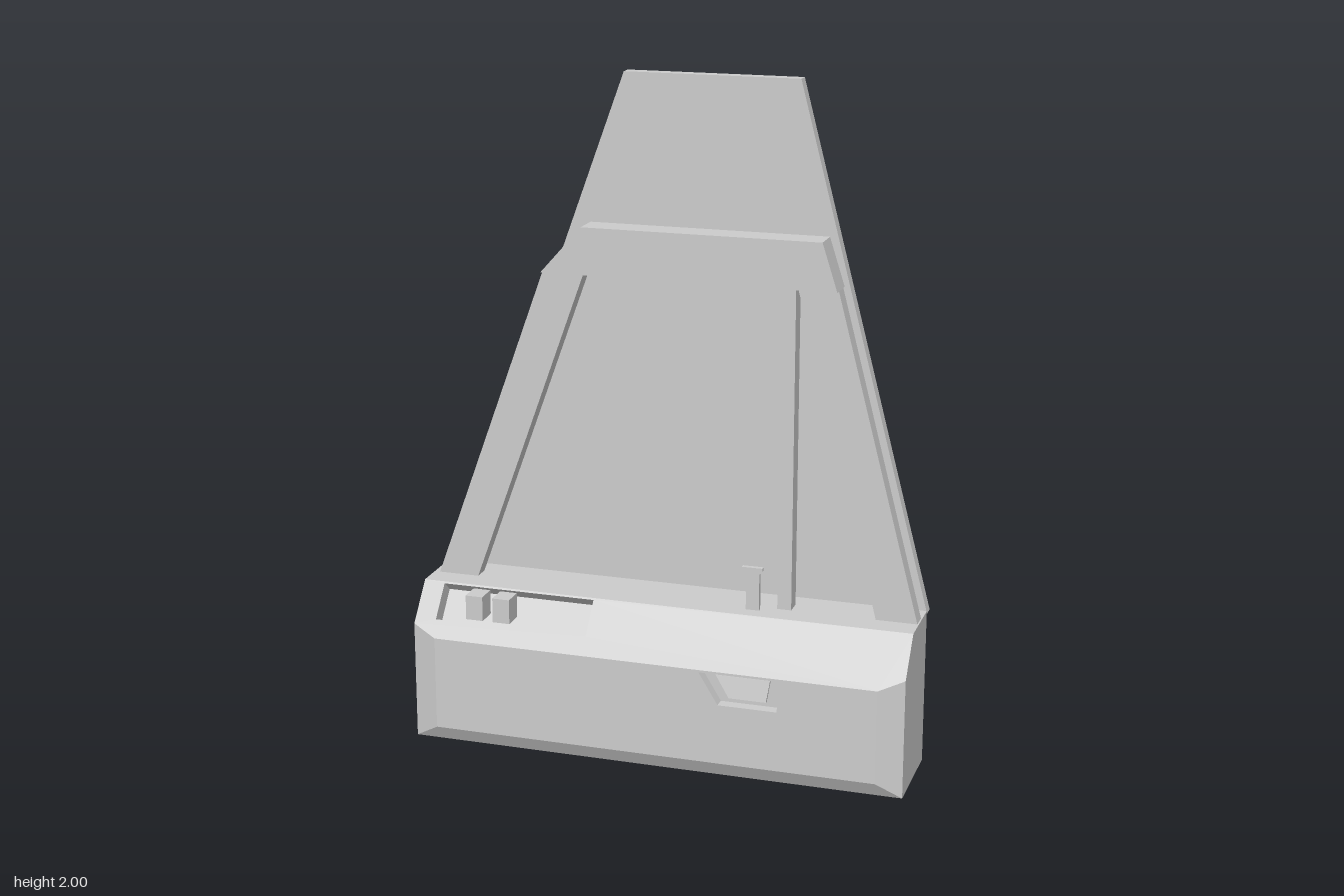
import * as THREE from 'three';
import { mergeGeometries } from 'three/addons/utils/BufferGeometryUtils.js';

const V = (x, y, z) => new THREE.Vector3(x, y, z);
const material = new THREE.MeshStandardMaterial({ color: 0xcccccc, flatShading: true, side: THREE.DoubleSide });

function add(group, name, geometry) {
  const mesh = new THREE.Mesh(geometry, material);
  mesh.name = name;
  group.add(mesh);
  return mesh;
}

function normalOf(pts) {
  return pts[1].clone().sub(pts[0]).cross(pts[2].clone().sub(pts[0])).normalize();
}

// Flat polygon in space, counter-clockwise from outside, with optional holes
function panel(pts, holes = []) {
  const n = normalOf(pts);
  const u = pts[1].clone().sub(pts[0]).normalize();
  const v = n.clone().cross(u);
  const flat = (list) => list.map((p) => {
    const d = p.clone().sub(pts[0]);
    return new THREE.Vector2(d.dot(u), d.dot(v));
  });
  const shape = new THREE.Shape(flat(pts));
  shape.holes = holes.map((h) => new THREE.Path(flat(h)));
  const geometry = new THREE.ShapeGeometry(shape);
  return geometry.applyMatrix4(new THREE.Matrix4().makeBasis(u, v, n).setPosition(pts[0]));
}

// Open tray sunk straight back from its rim
function tray(rim, depth) {
  const back = normalOf(rim).multiplyScalar(-depth);
  const floor = rim.map((p) => p.clone().add(back));
  const walls = rim.map((p, i) => {
    const j = (i + 1) % rim.length;
    return panel([p, rim[j], floor[j], floor[i]]);
  });
  return mergeGeometries([panel(floor), ...walls]);
}

// Front outline given thickness from z0 to z1
function slab(outline, z0, z1) {
  const shape = new THREE.Shape(outline.map(([x, y]) => new THREE.Vector2(x, y)));
  return new THREE.ExtrudeGeometry(shape, { depth: z1 - z0, bevelEnabled: false }).translate(0, 0, z0);
}

function box(x0, x1, y0, y1, z0, z1) {
  return new THREE.BoxGeometry(x1 - x0, y1 - y0, z1 - z0)
    .translate((x0 + x1) / 2, (y0 + y1) / 2, (z0 + z1) / 2);
}

export function createModel() {
  const model = new THREE.Group();
  model.name = 'doorPanel';

  // Lower body: a thin shell, open behind and below
  const W = 0.75, F = 0.675, slope = (z) => 0.47 - (z - 0.05) * 0.14 / 0.115;
  const shoulder = slope(0.14);
  const switchRim = [[-0.685, 0.127], [-0.21, 0.127], [-0.21, 0.054], [-0.685, 0.054]]
    .map(([x, z]) => V(x, slope(z), z));
  const handleRim = [[0.206, 0.228], [0.382, 0.228], [0.392, 0.323], [0.148, 0.323]]
    .map(([x, y]) => V(x, y, 0.165));
  const faces = [
    panel([V(-W, 0.47, 0.05), V(W, 0.47, 0.05), V(W, 0.47, -0.14), V(-W, 0.47, -0.14)]),
    panel([V(-F, 0.33, 0.165), V(F, 0.33, 0.165), V(W, shoulder, 0.14), V(W, 0.47, 0.05),
      V(-W, 0.47, 0.05), V(-W, shoulder, 0.14)], [switchRim]),
    panel([V(-F, 0.045, 0.165), V(F, 0.045, 0.165), V(F, 0.33, 0.165), V(-F, 0.33, 0.165)], [handleRim]),
    panel([V(-W, 0, 0.14), V(W, 0, 0.14), V(F, 0.045, 0.165), V(-F, 0.045, 0.165)]),
  ];
  for (const s of [-1, 1]) {
    const end = [V(s * W, 0, 0.14), V(s * W, 0, -0.14), V(s * W, 0.47, -0.14),
      V(s * W, 0.47, 0.05), V(s * W, shoulder, 0.14)];
    const corner = [V(s * F, 0.045, 0.165), V(s * W, 0, 0.14),
      V(s * W, shoulder, 0.14), V(s * F, 0.33, 0.165)];
    if (s < 0) { end.reverse(); corner.reverse(); }
    faces.push(panel(end), panel(corner));
  }
  add(model, 'bodyShell', mergeGeometries(faces));

  // Switch tray with two switches
  add(model, 'switchTray', tray(switchRim, 0.049));
  for (const x of [-0.59, -0.505]) {
    add(model, 'windowSwitch', box(x, x + 0.053, 0.385, 0.46, 0.055, 0.12));
  }

  // Handle recess and tilted pull flap
  add(model, 'handleRecess', tray(handleRim, 0.035));
  const flap = slab([[0.243, 0.26], [0.354, 0.26], [0.362, 0.322], [0.2, 0.322]], 0.169, 0.179);
  const pos = flap.attributes.position;
  for (let i = 0; i < pos.count; i++) {
    pos.setZ(i, pos.getZ(i) - (pos.getY(i) - 0.26) * 0.22);
  }
  add(model, 'handleFlap', flap);

  // Window frame: two leaning pillars, a divider and the header
  const z0 = -0.077, z1 = -0.026;
  add(model, 'rightPillar', slab([[-0.735, 0.465], [-0.61, 0.465], [-0.26, 1.43], [-0.385, 1.43]], z0, z1));
  add(model, 'leftPillar', slab([[0.625, 0.465], [0.747, 0.465], [0.495, 1.43], [0.378, 1.43]], z0, z1));
  add(model, 'divider', box(0.33, 0.372, 0.465, 1.43, z0, z1));
  add(model, 'header', slab([[-0.385, 1.43], [0.495, 1.43], [0.45, 1.57], [-0.26, 1.57]], -0.093, -0.007));

  // Lock knob with a flared head
  add(model, 'lockKnob', slab([[0.243, 0.465], [0.283, 0.465], [0.283, 0.58], [0.292, 0.59],
    [0.292, 0.6], [0.23, 0.6], [0.23, 0.59], [0.243, 0.58]], -0.01, 0.004));

  // Tall rear pane
  add(model, 'rearPane', slab([[-0.737, 0.46], [0.75, 0.46], [0.347, 2], [-0.174, 2]], -0.183, -0.145));

  return model;
}
